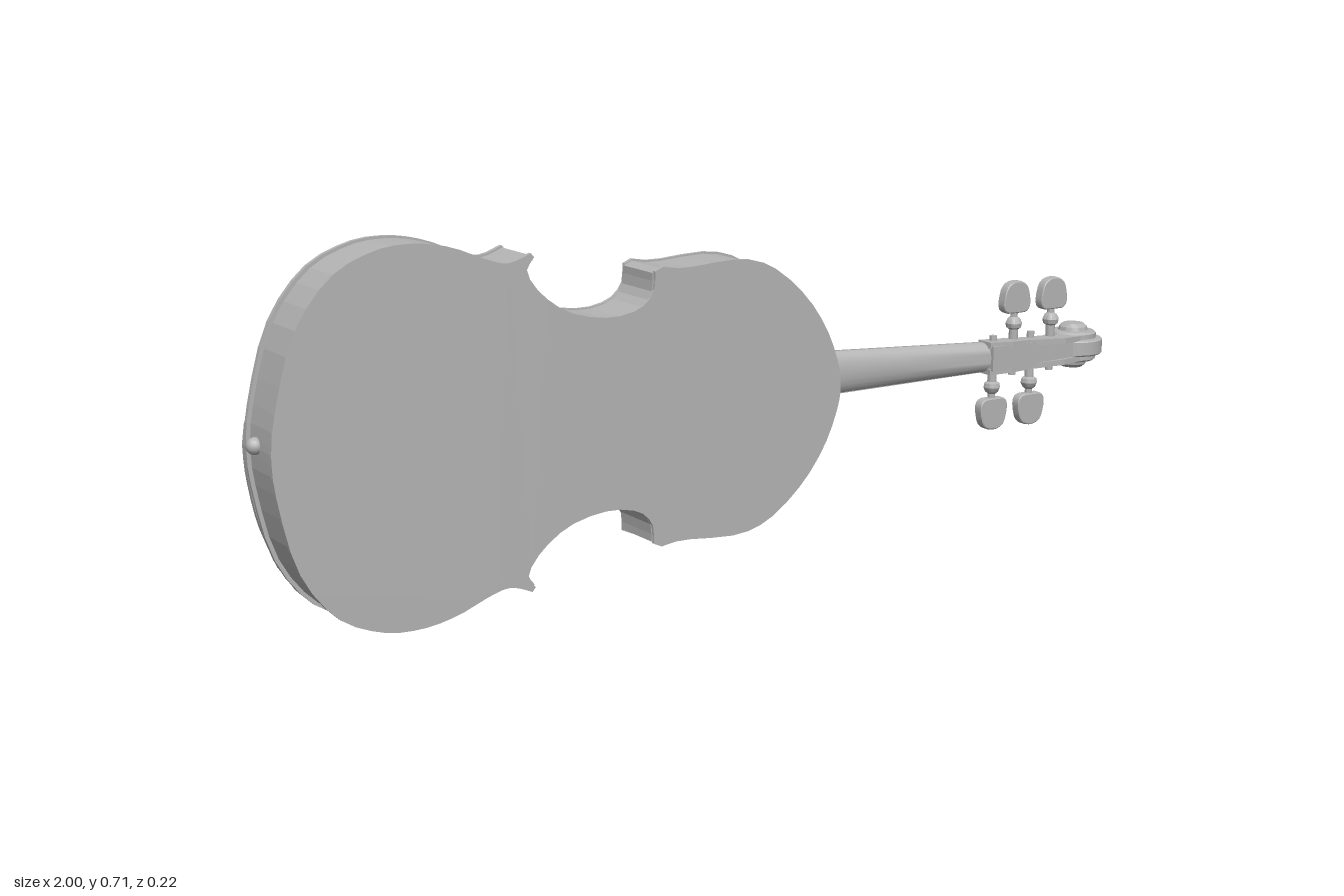
import * as THREE from 'three';
import { toCreasedNormals } from 'three/addons/utils/BufferGeometryUtils.js';

const V2 = (p) => new THREE.Vector2(p[0], p[1]);
const lerp = THREE.MathUtils.lerp;

// Smooth run of points through a few control points
function smooth(points, n) {
  return new THREE.SplineCurve(points.map(V2)).getPoints(n);
}

// Flat plate in x-y between z0 and z1
function plate(shape, z0, z1, curveSegments = 8) {
  const g = new THREE.ExtrudeGeometry(shape, { depth: z1 - z0, bevelEnabled: false, curveSegments });
  return g.translate(0, 0, z0);
}

// Solid through rings of [x, y, z], ordered along +x, each turning from +y to +z
function loft(rings) {
  const n = rings[0].length, pos = rings.flat(2), idx = [];
  for (let i = 0; i < rings.length - 1; i++) {
    for (let j = 0; j < n; j++) {
      const a = i * n + j, b = i * n + (j + 1) % n;
      idx.push(a, b, b + n, a, b + n, a + n);
    }
  }
  const last = (rings.length - 1) * n;
  for (let j = 1; j < n - 1; j++) idx.push(0, j + 1, j, last, last + j, last + j + 1);
  const g = new THREE.BufferGeometry();
  g.setAttribute('position', new THREE.Float32BufferAttribute(pos, 3));
  g.setIndex(idx);
  return toCreasedNormals(g, 0.6);
}

// Half-round ring: side = 1 bulges to +z, -1 to -z
function halfRing(x, w, edge, depth, side, n = 10) {
  return Array.from({ length: n + 1 }, (_, i) => {
    const t = Math.PI * i / n;
    return [x, side * w * Math.cos(t), edge + side * depth * Math.sin(t)];
  });
}

// Body outline: lower bout, waist and upper bout, mirrored about y = 0
function bodyShape(inset = 0) {
  const half = [
    ...smooth([[-0.99, 0], [-0.983, 0.07], [-0.945, 0.21], [-0.875, 0.305], [-0.79, 0.347], [-0.71, 0.355],
      [-0.635, 0.342], [-0.565, 0.315], [-0.52, 0.305], [-0.475, 0.32]], 26),
    ...smooth([[-0.468, 0.312], [-0.483, 0.285], [-0.45, 0.24], [-0.39, 0.202], [-0.31, 0.186],
      [-0.245, 0.196], [-0.212, 0.225], [-0.208, 0.265]], 16),
    ...smooth([[-0.19, 0.273], [-0.14, 0.267], [-0.02, 0.274], [0.06, 0.253], [0.14, 0.19],
      [0.195, 0.115], [0.225, 0.04], [0.23, 0]], 18),
  ];
  const mirror = half.slice(1, -1).reverse().map((p) => new THREE.Vector2(p.x, -p.y));
  const k = 1 - inset;
  return new THREE.Shape([...half, ...mirror].map((p) => new THREE.Vector2((p.x + 0.38) * k - 0.38, p.y * k)));
}

// Ribbon of varying width following a curve
function ribbon(points, width, n) {
  const curve = new THREE.SplineCurve(points.map(V2)), a = [], b = [];
  for (let i = 0; i <= n; i++) {
    const p = curve.getPoint(i / n), t = curve.getTangent(i / n);
    const w = width * (0.4 + 0.6 * Math.sin(Math.PI * i / n));
    a.push(new THREE.Vector2(p.x - t.y * w, p.y + t.x * w));
    b.unshift(new THREE.Vector2(p.x + t.y * w, p.y - t.x * w));
  }
  return new THREE.Shape([...a, ...b]);
}

export function createModel() {
  const model = new THREE.Group();
  const violin = new THREE.Group();
  violin.name = 'violin';
  violin.position.set(0, 0.357, 0);
  violin.rotation.set(0, -0.01, -0.012);
  model.add(violin);
  const grey = new THREE.MeshStandardMaterial({ color: 0xb4b4b4 });
  grey.name = 'grey';
  const add = (name, geometry, parent = violin) => {
    const m = new THREE.Mesh(geometry, grey);
    m.name = name;
    parent.add(m);
    return m;
  };

  // Sound box
  add('ribs', plate(bodyShape(0.013), -0.012, 0.096));
  add('topPlate', plate(bodyShape(), -0.018, -0.009));
  add('backPlate', plate(bodyShape(), 0.094, 0.102));

  // Sound holes as thin inlays on the top plate
  for (const s of [1, -1]) {
    const path = [[-0.36, 0.135], [-0.345, 0.115], [-0.325, 0.13], [-0.34, 0.16], [-0.4, 0.175], [-0.46, 0.19],
      [-0.53, 0.205], [-0.572, 0.23], [-0.57, 0.262], [-0.545, 0.262], [-0.54, 0.243]].map(([x, y]) => [x, y * s]);
    add('soundHole', plate(ribbon(path, 0.009, 48), -0.0205, -0.017));
    for (const [x, y] of [[-0.362, 0.135], [-0.54, 0.243]]) {
      const dot = add('soundHoleEye', new THREE.CylinderGeometry(0.013, 0.013, 0.0035, 16).rotateX(Math.PI / 2));
      dot.position.set(x, y * s, -0.0188);
    }
  }

  // Fingerboard, neck and heel
  const board = (x) => {
    const t = (x + 0.26) / 0.93;
    return { w: lerp(0.066, 0.033, t), edge: lerp(-0.052, 0.016, t) };
  };
  add('fingerboard', loft([-0.26, 0.67].map((x, i) => halfRing(x, board(x).w, board(x).edge, i ? 0.012 : 0.023, -1))));
  add('neck', loft([0.21, 0.3, 0.45, 0.67].map((x, i) =>
    halfRing(x, board(x).w * 0.96, board(x).edge, [0.022, 0.018, 0.02, 0.027][i], 1))));
  add('heel', loft([[0.2, 0.025, 0.022], [0.28, 0.016, 0.016]].map(([x, w, d]) => halfRing(x, w, -0.005, d, 1))));

  // Pegbox: two cheeks and a floor, open to the top side
  const cheek = new THREE.Shape([[0.665, 0.002], [0.71, 0.004], [0.78, 0.012], [0.9, 0.008], [0.91, 0.05],
    [0.86, 0.058], [0.77, 0.047], [0.72, 0.05], [0.665, 0.043]].map(V2));
  for (const s of [1, -1]) {
    const m = add('pegboxCheek', plate(cheek, -0.006, 0.006).rotateX(Math.PI / 2));
    m.position.y = s * 0.029;
    m.rotation.z = -s * 0.03;
    m.position.y += s * 0.02;
  }
  add('pegboxFloor', new THREE.BoxGeometry(0.235, 0.054, 0.01).translate(0.785, 0, 0.044));
  add('nut', new THREE.BoxGeometry(0.022, 0.066, 0.034).translate(0.676, 0, 0.02));

  // Scroll with stepped turns
  const turn = [[0.064, 0.014], [0.061, 0.017], [0.05, 0.018], [0.05, 0.028], [0.045, 0.032], [0.032, 0.033],
    [0.03, 0.041], [0.022, 0.048], [0, 0.049]];
  const profile = [...turn.map(([r, y]) => [r, -y]).reverse(), ...turn].map(V2);
  add('scroll', toCreasedNormals(new THREE.LatheGeometry(profile, 28), 0.6)).position.set(0.931, 0, 0);

  // Tuning pegs
  const head = new THREE.Shape();
  head.moveTo(-0.012, 0.092);
  head.bezierCurveTo(-0.04, 0.09, -0.036, 0.112, -0.029, 0.138);
  head.bezierCurveTo(-0.022, 0.162, 0.022, 0.162, 0.029, 0.138);
  head.bezierCurveTo(0.036, 0.112, 0.04, 0.09, 0.012, 0.092);
  const headGeo = new THREE.ExtrudeGeometry(head, {
    depth: 0.012, bevelThickness: 0.005, bevelSize: 0.003, bevelSegments: 2, curveSegments: 8 });
  headGeo.translate(0, 0, -0.006);
  const shaftGeo = toCreasedNormals(new THREE.LatheGeometry([[0, -0.045], [0.008, -0.045], [0.01, 0.045],
    [0.01, 0.054], [0.016, 0.058], [0.018, 0.067], [0.014, 0.076], [0.008, 0.081], [0.008, 0.1]].map(V2), 12), 0.6);
  for (const [x, s] of [[0.745, 1], [0.848, 1], [0.69, -1], [0.793, -1]]) {
    const peg = new THREE.Group();
    peg.name = 'tuningPeg';
    peg.position.set(x, 0, 0.02);
    if (s < 0) peg.rotation.z = Math.PI;
    add('pegShaft', shaftGeo, peg);
    add('pegHead', toCreasedNormals(headGeo, 0.6), peg);
    violin.add(peg);
  }

  // Bridge, drawn as y across and height up, then stood on the top plate
  const bridge = new THREE.Shape([[-0.07, 0], [-0.035, 0], [-0.028, 0.012], [0, 0.02], [0.028, 0.012], [0.035, 0],
    [0.07, 0], [0.066, 0.03], [0.069, 0.055], [0.075, 0.08], [0.04, 0.09], [0, 0.094], [-0.04, 0.09],
    [-0.075, 0.08], [-0.069, 0.055], [-0.066, 0.03]].map(V2));
  bridge.holes.push(new THREE.Path().absarc(0, 0.048, 0.012, 0, Math.PI * 2, true));
  for (const s of [1, -1]) bridge.holes.push(new THREE.Path().absarc(s * 0.043, 0.04, 0.01, 0, Math.PI * 2, true));
  const bridgeGeo = plate(bridge, -0.004, 0.004);
  bridgeGeo.applyMatrix4(new THREE.Matrix4().makeBasis(
    new THREE.Vector3(0, 1, 0), new THREE.Vector3(0, 0, -1), new THREE.Vector3(-1, 0, 0)));
  add('bridge', bridgeGeo).position.set(-0.443, 0.004, -0.017);

  // Tailpiece with fine tuners, rising toward the bridge
  const tail = new THREE.Group();
  tail.name = 'tailpieceGroup';
  tail.position.set(-0.96, 0, -0.03);
  tail.rotation.y = 0.075;
  violin.add(tail);
  const side = smooth([[0, 0.014], [0.08, 0.02], [0.17, 0.038], [0.26, 0.058], [0.355, 0.068]], 14);
  const tailShape = new THREE.Shape([...side, new THREE.Vector2(0.365, 0.03), new THREE.Vector2(0.365, -0.03),
    ...side.map((p) => new THREE.Vector2(p.x, -p.y)).reverse()]);
  add('tailpiece', plate(tailShape, -0.013, -0.002), tail);
  for (let i = 0; i < 4; i++) {
    const y = (i - 1.5) * 0.033;
    add('tunerLever', new THREE.BoxGeometry(0.05, 0.007, 0.006).translate(0.355, y, -0.016), tail);
    add('tunerScrew', new THREE.CylinderGeometry(0.006, 0.006, 0.022, 10).rotateX(Math.PI / 2)
      .translate(0.335, y, -0.022), tail);
  }
  add('tailSaddle', new THREE.BoxGeometry(0.05, 0.04, 0.02).translate(-0.955, 0, -0.025));

  // Chin rest over the lower corner of the lower bout
  const edge = smooth([[-0.985, 0.04], [-0.955, 0.05], [-0.935, 0.02], [-0.9, 0.0], [-0.85, -0.01], [-0.825, -0.07],
    [-0.83, -0.15], [-0.86, -0.24], [-0.895, -0.285]], 32);
  const rim = smooth([[-0.93, -0.235], [-0.965, -0.15], [-0.985, -0.06], [-0.99, 0.0]], 10);
  add('chinRest', plate(new THREE.Shape([...edge, ...rim]), -0.027, -0.017));

  // End button
  add('endButton', new THREE.SphereGeometry(0.016, 14, 10)).position.set(-0.986, 0.005, 0.02);
  return model;
}
